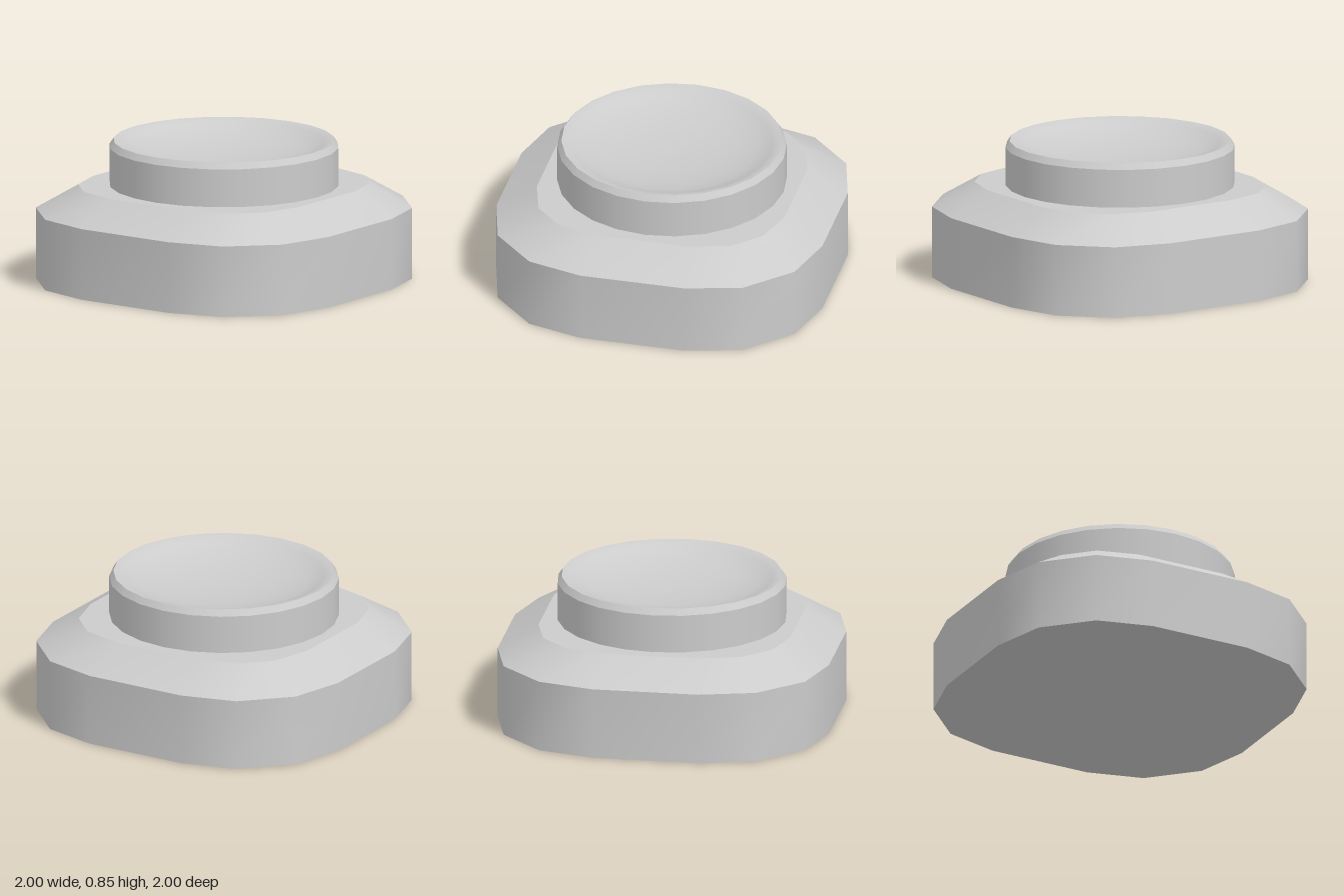
import * as THREE from 'three';

const material = new THREE.MeshStandardMaterial({ color: 0xcccccc });

// Four-fold outline: one quadrant's corners turned about the y axis
function outline(quadrant) {
  const ring = [];
  for (let q = 0; q < 4; q++) {
    for (const [x, z] of quadrant) {
      let p = [x, z];
      for (let k = 0; k < q; k++) p = [-p[1], p[0]];
      ring.push(p);
    }
  }
  return ring;
}

// Smooth wall between two outlines
function band(lower, y0, upper, y1) {
  const n = lower.length;
  const positions = [], index = [];
  for (const [x, z] of lower) positions.push(x, y0, z);
  for (const [x, z] of upper) positions.push(x, y1, z);
  for (let i = 0; i < n; i++) {
    const j = (i + 1) % n;
    index.push(i, n + i, j, j, n + i, n + j);
  }
  const g = new THREE.BufferGeometry();
  g.setAttribute('position', new THREE.Float32BufferAttribute(positions, 3));
  g.setIndex(index);
  g.computeVertexNormals();
  return g;
}

// Flat cap filling an outline
function cap(ring, y, up) {
  const shape = new THREE.Shape(ring.map(([x, z]) => new THREE.Vector2(x, z)));
  return new THREE.ShapeGeometry(shape).rotateX(up ? -Math.PI / 2 : Math.PI / 2).translate(0, y, 0);
}

function lathe(points) {
  return new THREE.LatheGeometry(points.map(([r, y]) => new THREE.Vector2(r, y)), 24);
}

function addPart(parent, name, geometry) {
  const mesh = new THREE.Mesh(geometry, material);
  mesh.name = name;
  parent.add(mesh);
}

export function createModel() {
  const model = new THREE.Group();
  model.name = 'pushButton';

  // Rounded-square housing with a sloped shoulder
  const base = new THREE.Group();
  base.name = 'base';
  const outer = outline([[1, -0.32], [1, 0.32], [0.91, 0.655], [0.655, 0.91]]);
  const inner = outline([[0.76, -0.285], [0.76, 0.285], [0.69, 0.53], [0.53, 0.69]]);
  addPart(base, 'baseBottom', cap(outer, 0, false));
  addPart(base, 'baseSide', band(outer, 0, outer, 0.43));
  addPart(base, 'baseShoulder', band(outer, 0.43, inner, 0.577));
  addPart(base, 'baseTop', cap(inner, 0.577, true));
  model.add(base);

  // Round cap with chamfered rim and dished top
  const button = new THREE.Group();
  button.name = 'button';
  addPart(button, 'buttonSide', lathe([[0.685, 0.57], [0.685, 0.807]]));
  addPart(button, 'buttonChamfer', lathe([[0.685, 0.807], [0.66, 0.845]]));
  addPart(button, 'buttonDish', lathe([
    [0.66, 0.845], [0.63, 0.839], [0.6, 0.826], [0.56, 0.806], [0.5, 0.785],
    [0.4, 0.762], [0.28, 0.744], [0.14, 0.734], [0, 0.73],
  ]));
  model.add(button);

  return model;
}
